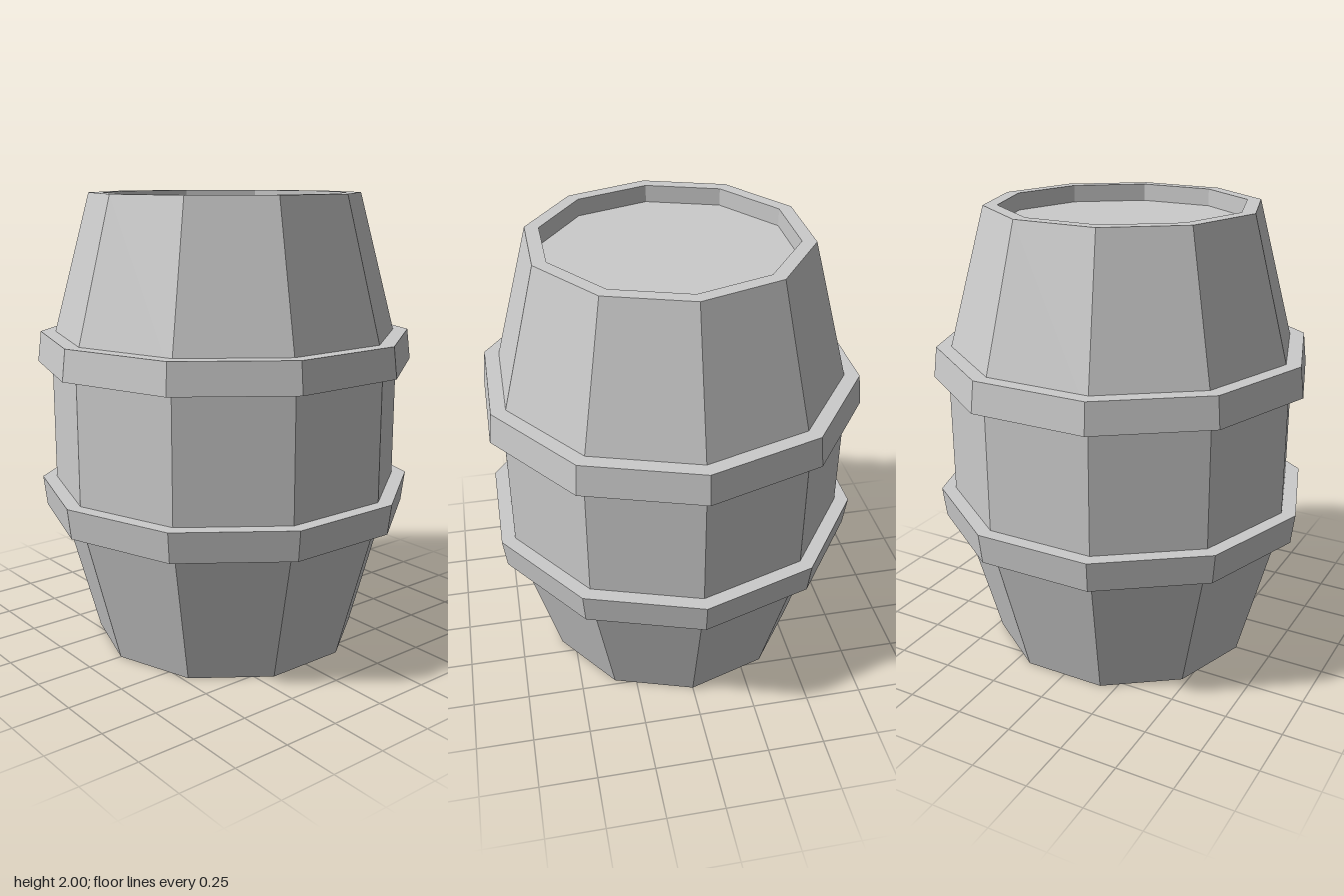
import * as THREE from 'three';

const SIDES = 10;

// Ten-sided turned part; profile runs bottom to top along the outside as [radius, y]
function turned(name, profile, material) {
  const points = profile.map(([r, y]) => new THREE.Vector2(r, y));
  const mesh = new THREE.Mesh(new THREE.LatheGeometry(points, SIDES), material);
  mesh.name = name;
  return mesh;
}

export function createModel() {
  const group = new THREE.Group();
  group.name = 'barrel';
  const material = new THREE.MeshStandardMaterial({ color: 0xcccccc, flatShading: true });

  // Staves with a recessed lid and base
  const rim = 0.59, inner = 0.53, belly = 0.77, recess = 0.075;
  group.add(turned('barrelBody', [
    [0, recess], [inner, recess], [inner, 0], [rim, 0],
    [belly, 0.667], [belly, 1.333],
    [rim, 2], [inner, 2], [inner, 2 - recess], [0, 2 - recess],
  ], material));

  // Hoops, each wider on the edge facing the belly; inner wall is buried in the staves
  const wide = 0.833, narrow = 0.817, buried = 0.73;
  group.add(turned('lowerHoop', [
    [buried, 0.6], [narrow, 0.6], [wide, 0.733], [buried, 0.733], [buried, 0.6],
  ], material));
  group.add(turned('upperHoop', [
    [buried, 1.267], [wide, 1.267], [narrow, 1.4], [buried, 1.4], [buried, 1.267],
  ], material));

  return group;
}
